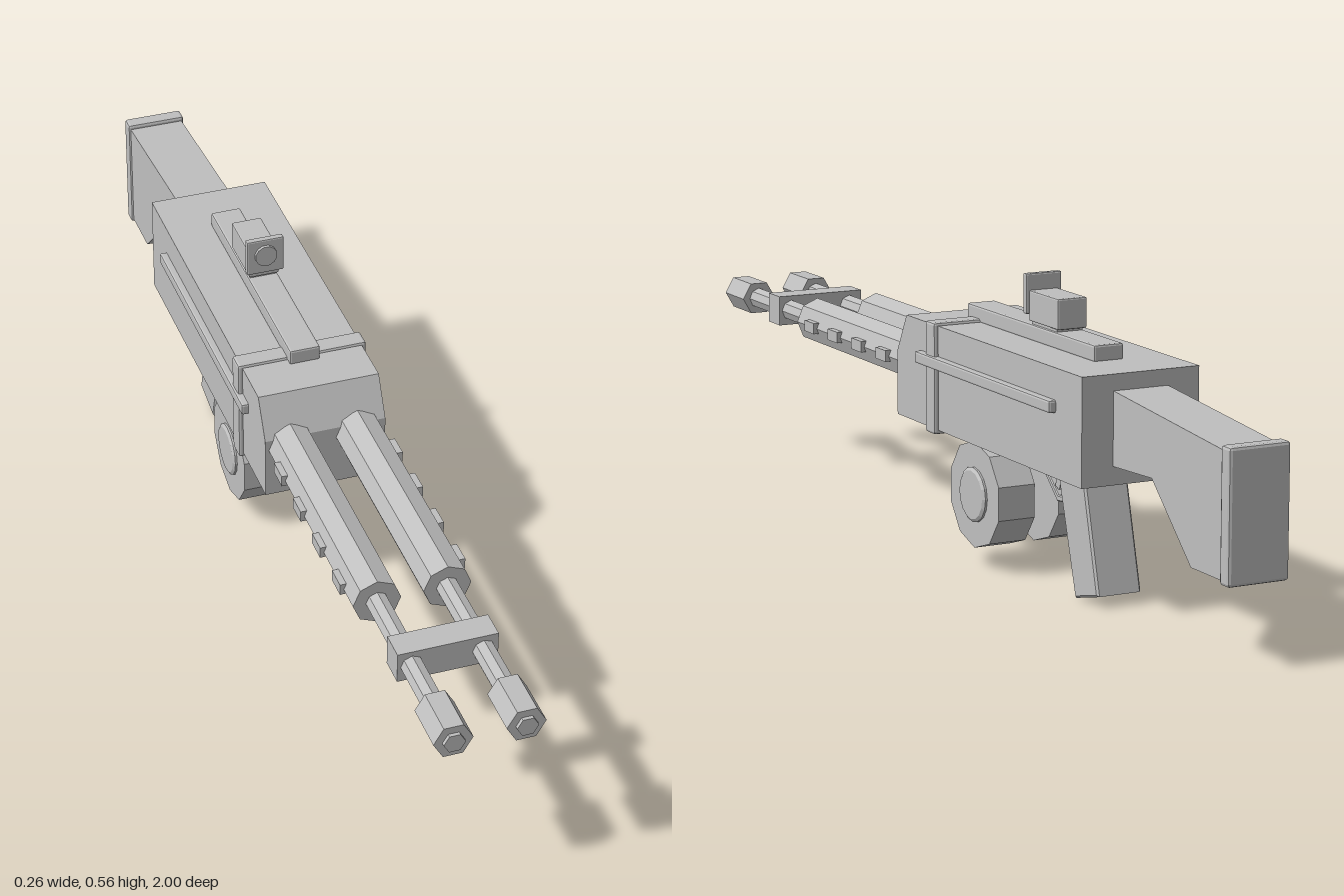
import * as THREE from 'three';
import { RoundedBoxGeometry } from 'three/addons/geometries/RoundedBoxGeometry.js';

const gunMetal = new THREE.MeshStandardMaterial({ color: 0xbfbfbf });
gunMetal.name = 'gunMetal';

export function createModel() {
  const model = new THREE.Group();
  model.name = 'twinBarrelGun';

  // Faceted normals on every part
  const add = (name, geometry) => {
    const flat = geometry.index ? geometry.toNonIndexed() : geometry;
    flat.computeVertexNormals();
    const mesh = new THREE.Mesh(flat, gunMetal);
    mesh.name = name;
    model.add(mesh);
  };

  // Box given by its extents, with an optional chamfer
  const box = (name, [x0, x1], [y0, y1], [z0, z1], bevel = 0) => {
    const size = [x1 - x0, y1 - y0, z1 - z0];
    const g = bevel ? new RoundedBoxGeometry(...size, 1, bevel) : new THREE.BoxGeometry(...size);
    add(name, g.translate((x0 + x1) / 2, (y0 + y1) / 2, (z0 + z1) / 2));
  };

  // Side outline of [z, y] points, extruded across x
  const profile = (name, points, halfWidth, bevel = 0) => {
    const shape = new THREE.Shape(points.map(([z, y]) => new THREE.Vector2(z, y)));
    const depth = 2 * (halfWidth - bevel);
    const g = new THREE.ExtrudeGeometry(shape, {
      depth, bevelEnabled: bevel > 0, bevelSize: bevel, bevelThickness: bevel,
      bevelOffset: -bevel, bevelSegments: 1,
    });
    add(name, g.translate(0, 0, -depth / 2).rotateY(-Math.PI / 2));
  };

  // Faceted rod along z; turn is the angle of its first corner
  const rod = (name, x, y, z0, z1, radius, sides, turn = 0) => add(name,
    new THREE.CylinderGeometry(radius, radius, z1 - z0, sides, 1, false, turn)
      .rotateX(Math.PI / 2).translate(x, y, (z0 + z1) / 2));

  // Receiver with sloped nose, and the strap around it
  profile('receiver', [[-0.6, 0.241], [0.13, 0.241], [0.13, 0.365], [0.09, 0.44], [-0.6, 0.44]], 0.118);
  box('receiverBand', [-0.127, 0.127], [0.233, 0.446], [-0.044, -0.006], 0.005);

  // Shoulder stock and butt plate
  profile('stock', [[-0.6, 0.275], [-0.6, 0.41], [-0.975, 0.376], [-0.975, 0.153],
    [-0.87, 0.153], [-0.735, 0.281]], 0.055);
  box('buttPlate', [-0.06, 0.06], [0.146, 0.386], [-1, -0.97], 0.006);

  // Pistol grip
  profile('grip', [[-0.37, 0.25], [-0.47, 0.25], [-0.53, 0.021], [-0.445, 0]], 0.045, 0.004);

  // Trigger and its guard
  profile('triggerGuard', [[-0.247, 0.245], [-0.252, 0.2], [-0.31, 0.148], [-0.41, 0.158],
    [-0.41, 0.168], [-0.314, 0.16], [-0.262, 0.205], [-0.258, 0.245]], 0.009, 0.002);
  profile('trigger', [[-0.32, 0.245], [-0.335, 0.245], [-0.328, 0.2], [-0.315, 0.17],
    [-0.3, 0.175], [-0.312, 0.205]], 0.007);

  // Top rail and sight
  box('topRail', [-0.03, 0.03], [0.438, 0.469], [-0.485, 0.01], 0.004);
  box('sightMount', [-0.026, 0.026], [0.465, 0.482], [-0.34, -0.245]);
  box('sightBody', [-0.03, 0.03], [0.474, 0.531], [-0.35, -0.238], 0.003);
  box('sightPlate', [-0.037, 0.037], [0.487, 0.562], [-0.241, -0.228], 0.003);
  rod('sightLens', 0, 0.528, -0.24, -0.222, 0.022, 12, Math.PI / 12);

  // Bridge tying the two barrels together
  box('barrelBridge', [-0.093, 0.093], [0.313, 0.373], [0.735, 0.788]);

  for (const side of [-1, 1]) {
    const x = 0.066 * side;
    const label = side > 0 ? 'left' : 'right';
    const span = (a, b) => (side > 0 ? [a, b] : [-b, -a]);

    // Barrel, octagonal shroud, hexagonal muzzle and tip
    rod(label + 'Shroud', x, 0.343, 0.12, 0.607, 0.045, 8);
    rod(label + 'Barrel', x, 0.343, 0.6, 0.91, 0.021, 8);
    rod(label + 'Muzzle', x, 0.343, 0.9, 0.993, 0.036, 6, Math.PI / 2);
    rod(label + 'MuzzleTip', x, 0.343, 0.99, 1, 0.02, 6, Math.PI / 2);

    // Vent blocks along the shroud
    for (let i = 0; i < 4; i++) {
      const z = 0.535 - i * 0.11;
      box(label + 'Vent' + (i + 1), span(0.1, 0.118), [0.333, 0.355], [z - 0.022, z + 0.022]);
    }

    // Side rail
    box(label + 'SideRail', span(0.112, 0.132), [0.359, 0.382], [-0.505, 0.03], 0.004);

    // Ammunition drum with a raised hub
    const disc = (name, from, to, r0, r1, sides, turn) => add(label + name,
      new THREE.CylinderGeometry(r1, r0, to - from, sides, 1, false, turn)
        .rotateZ(-side * Math.PI / 2)
        .translate(side * (from + to) / 2, 0.139, -0.157));
    disc('Drum', 0.025, 0.1, 0.102, 0.102, 10, Math.PI / 10);
    disc('DrumHub', 0.098, 0.104, 0.052, 0.052, 16, 0);
    disc('DrumHubRim', 0.104, 0.108, 0.052, 0.046, 16, 0);
  }
  return model;
}
